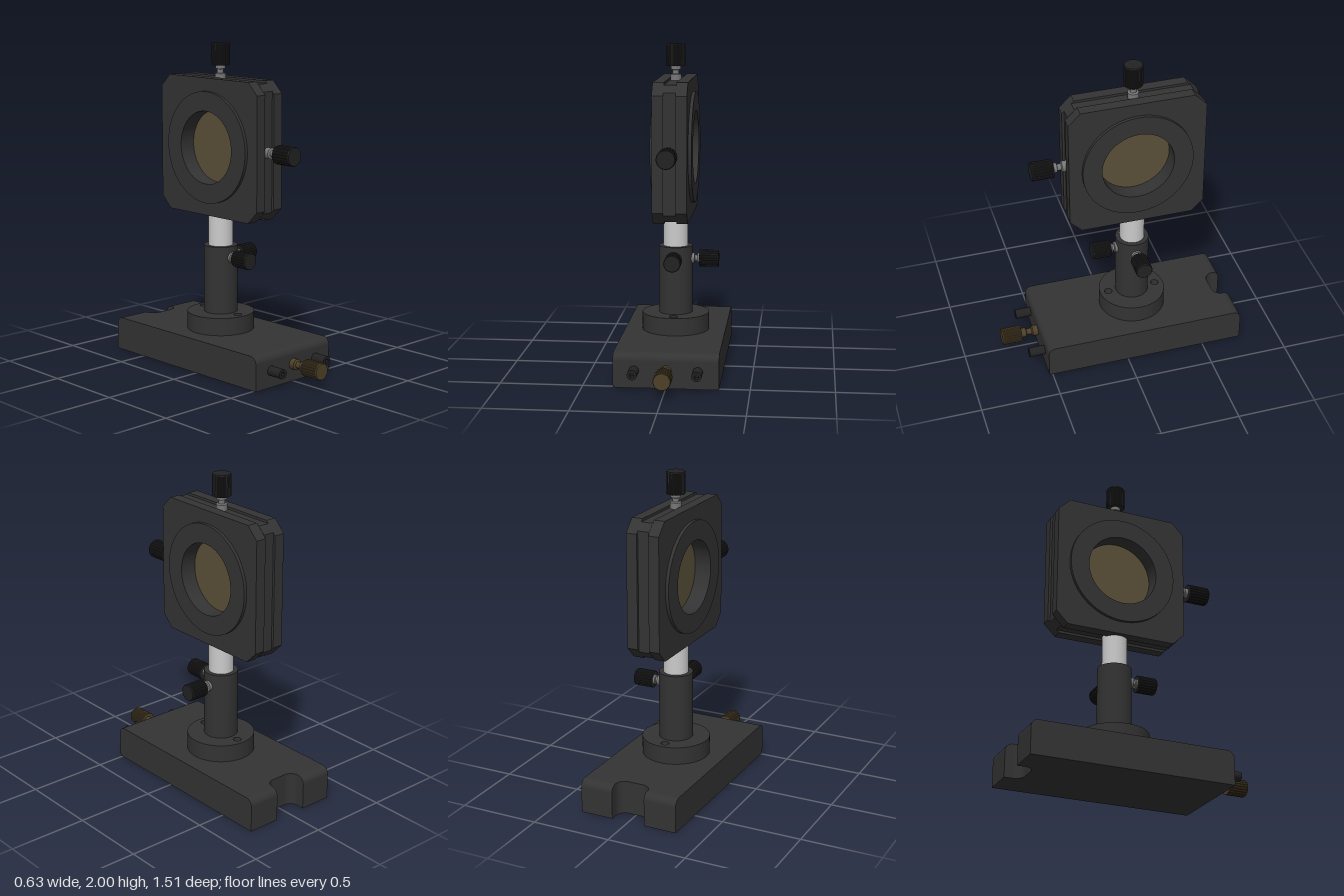
import * as THREE from 'three';

const mat = (color) => new THREE.MeshStandardMaterial({ color });
const black = mat(0x333333);
const knobBlack = mat(0x222222);
const steel = mat(0xcccccc);
const screwGrey = mat(0x777777);
const brass = mat(0x4d4028);
const glass = mat(0x5a5038);

const AXIS_Z = -0.115; // z of the post and the optic
const OPTIC_Y = 1.365;

export function createModel() {
  const model = new THREE.Group();

  function add(name, geometry, material, x = 0, y = 0, z = 0, parent = model) {
    const mesh = new THREE.Mesh(geometry, material);
    mesh.name = name;
    mesh.position.set(x, y, z);
    parent.add(mesh);
    return mesh;
  }
  const extrude = (shape, depth) =>
    new THREE.ExtrudeGeometry(shape, { depth, bevelEnabled: false, curveSegments: 32 });
  const cylinder = (r, h, sides = 48) => new THREE.CylinderGeometry(r, r, h, sides);

  // --- Base: long block, rounded top edges at front and back, notch at the back ---
  const H = 0.21, W = 0.316, FRONT = 0.52, BACK = -0.755, JOIN = -0.55, R = 0.045, NOTCH = 0.107;

  // Side profile from z0 (square end) to z1 (rounded top), swept across x0..x1
  function sideSlab(z0, z1, x0, x1) {
    const s = Math.sign(z1 - z0);
    const p = new THREE.Shape();
    p.moveTo(-z0, 0);
    p.lineTo(-z1, 0);
    p.lineTo(-z1, H - R);
    p.absarc(-(z1 - s * R), H - R, R, s > 0 ? Math.PI : 0, Math.PI / 2, s > 0);
    p.lineTo(-z0, H);
    const g = extrude(p, x1 - x0);
    g.rotateY(Math.PI / 2);
    g.translate(x0, 0, 0);
    return g;
  }
  const base = new THREE.Group();
  base.name = 'base';
  model.add(base);
  add('baseBody', sideSlab(JOIN, FRONT, -W, W), black, 0, 0, 0, base);
  add('baseRightArm', sideSlab(JOIN, BACK, -W, -NOTCH), black, 0, 0, 0, base);
  add('baseLeftArm', sideSlab(JOIN, BACK, NOTCH, W), black, 0, 0, 0, base);

  // Floor of the notch with rounded inner corners (plan shape, y of shape = -z)
  const f = new THREE.Shape();
  const nz = 0.65, nr = 0.06;
  f.moveTo(-NOTCH, -JOIN);
  f.lineTo(NOTCH, -JOIN);
  f.lineTo(NOTCH, nz + nr);
  f.absarc(NOTCH - nr, nz + nr, nr, 0, -Math.PI / 2, true);
  f.lineTo(-NOTCH + nr, nz);
  f.absarc(-NOTCH + nr, nz + nr, nr, -Math.PI / 2, -Math.PI, true);
  f.closePath();
  add('notchFloor', extrude(f, H).rotateX(-Math.PI / 2), black, 0, 0, 0, base);

  // --- Socket pins on the base front ---
  for (const side of [-1, 1]) {
    const pin = new THREE.Shape().absarc(0, 0, 0.03, 0, Math.PI * 2);
    const hex = new THREE.Path();
    for (let i = 0; i <= 6; i++) {
      const a = (i * Math.PI) / 3;
      hex[i ? 'lineTo' : 'moveTo'](0.015 * Math.cos(a), 0.015 * Math.sin(a));
    }
    pin.holes.push(hex);
    add('socketPin', extrude(pin, 0.11), knobBlack, side * 0.19, 0.105, FRONT - 0.01);
    add('socketBottom', new THREE.CircleGeometry(0.025, 16), knobBlack, side * 0.19, 0.105, FRONT + 0.06);
  }

  // --- Flange with two screw holes, post holder and post ---
  const flange = new THREE.Shape().absarc(0, 0, 0.21, 0, Math.PI * 2);
  for (const side of [-1, 1])
    flange.holes.push(new THREE.Path().absarc(0, side * 0.155, 0.025, 0, Math.PI * 2));
  add('flange', extrude(flange, 0.11).rotateX(-Math.PI / 2), black, 0, H, AXIS_Z);
  add('postHolder', cylinder(0.105, 0.43), black, 0, 0.53, AXIS_Z);
  add('post', cylinder(0.077, 0.3), steel, 0, 0.82, AXIS_Z);

  // --- Optic mount: two outer plates, recessed middle plate, two rings, glass ---
  const mount = new THREE.Group();
  mount.name = 'opticMount';
  mount.position.set(0, OPTIC_Y, AXIS_Z);
  model.add(mount);
  const BORE = 0.225;
  const bore = () => new THREE.Path().absarc(0, 0, BORE, 0, Math.PI * 2);

  function plate(name, shape, x0, x1) {
    shape.holes.push(bore());
    add(name, extrude(shape, x1 - x0).rotateY(Math.PI / 2), black, x0, 0, 0, mount);
  }
  function octagon(half, cut) {
    const k = half - cut;
    return new THREE.Shape([
      [-k, -half], [k, -half], [half, -k], [half, k],
      [k, half], [-k, half], [-half, k], [-half, -k],
    ].map(([x, y]) => new THREE.Vector2(x, y)));
  }
  plate('leftPlate', octagon(0.425, 0.075), 0.037, 0.105);
  plate('middlePlate', octagon(0.41, 0.043), -0.037, 0.037);
  plate('rightPlate', octagon(0.425, 0.075), -0.105, -0.037);
  const ring = () => new THREE.Shape().absarc(0, 0, 0.345, 0, Math.PI * 2);
  plate('leftRing', ring(), 0.105, 0.125);
  plate('rightRing', ring(), -0.125, -0.105);
  add('glass', cylinder(BORE, 0.04, 64).rotateZ(Math.PI / 2), glass, 0, 0, 0, mount);

  // --- Knurled thumbscrews: built along +y from the seat, then turned into place ---
  function thumbscrew(name, { neck, head, radius, material = knobBlack, shaft = screwGrey }) {
    const g = new THREE.Group();
    g.name = name;
    const profile = [
      [0, -0.03], [0.034, -0.03], [0.034, neck * 0.3], [0.02, neck * 0.36],
      [0.02, neck * 0.65], [0.03, neck * 0.7], [0.03, neck + 0.005], [0, neck + 0.005],
    ].map(([r, y]) => new THREE.Vector2(r, y));
    const lathe = new THREE.LatheGeometry(profile, 24).toNonIndexed();
    lathe.computeVertexNormals();
    add('neck', lathe, shaft, 0, 0, 0, g);
    const ribs = 20, s = new THREE.Shape();
    for (let i = 0; i < ribs * 4; i++) {
      const a = (i / (ribs * 4)) * Math.PI * 2;
      const r = i % 4 < 2 ? radius : radius * 0.93;
      s[i ? 'lineTo' : 'moveTo'](r * Math.cos(a), r * Math.sin(a));
    }
    s.closePath();
    add('knurledHead', extrude(s, head - 0.006).rotateX(-Math.PI / 2), material, 0, neck, 0, g);
    add('headCap', new THREE.CylinderGeometry(radius * 0.93, radius, 0.006, 40), material,
      0, neck + head - 0.003, 0, g);
    model.add(g);
    return g;
  }
  thumbscrew('topAdjuster', { neck: 0.075, head: 0.135, radius: 0.058 })
    .position.set(0, 1.79, AXIS_Z);

  const frontAdjuster = thumbscrew('frontAdjuster', { neck: 0.08, head: 0.135, radius: 0.058 });
  frontAdjuster.position.set(0, OPTIC_Y, 0.305);
  frontAdjuster.rotation.x = Math.PI / 2;

  const frontClamp = thumbscrew('frontClamp', { neck: 0.04, head: 0.12, radius: 0.053 });
  frontClamp.position.set(0, 0.675, -0.01);
  frontClamp.rotation.x = Math.PI / 2;

  const sideClamp = thumbscrew('sideClamp', { neck: 0.045, head: 0.12, radius: 0.053 });
  sideClamp.position.set(0.105, 0.663, AXIS_Z);
  sideClamp.rotation.z = -Math.PI / 2;

  const baseScrew = thumbscrew('baseScrew',
    { neck: 0.11, head: 0.125, radius: 0.053, material: brass, shaft: brass });
  baseScrew.position.set(0, 0.108, FRONT);
  baseScrew.rotation.x = Math.PI / 2;

  return model;
}
